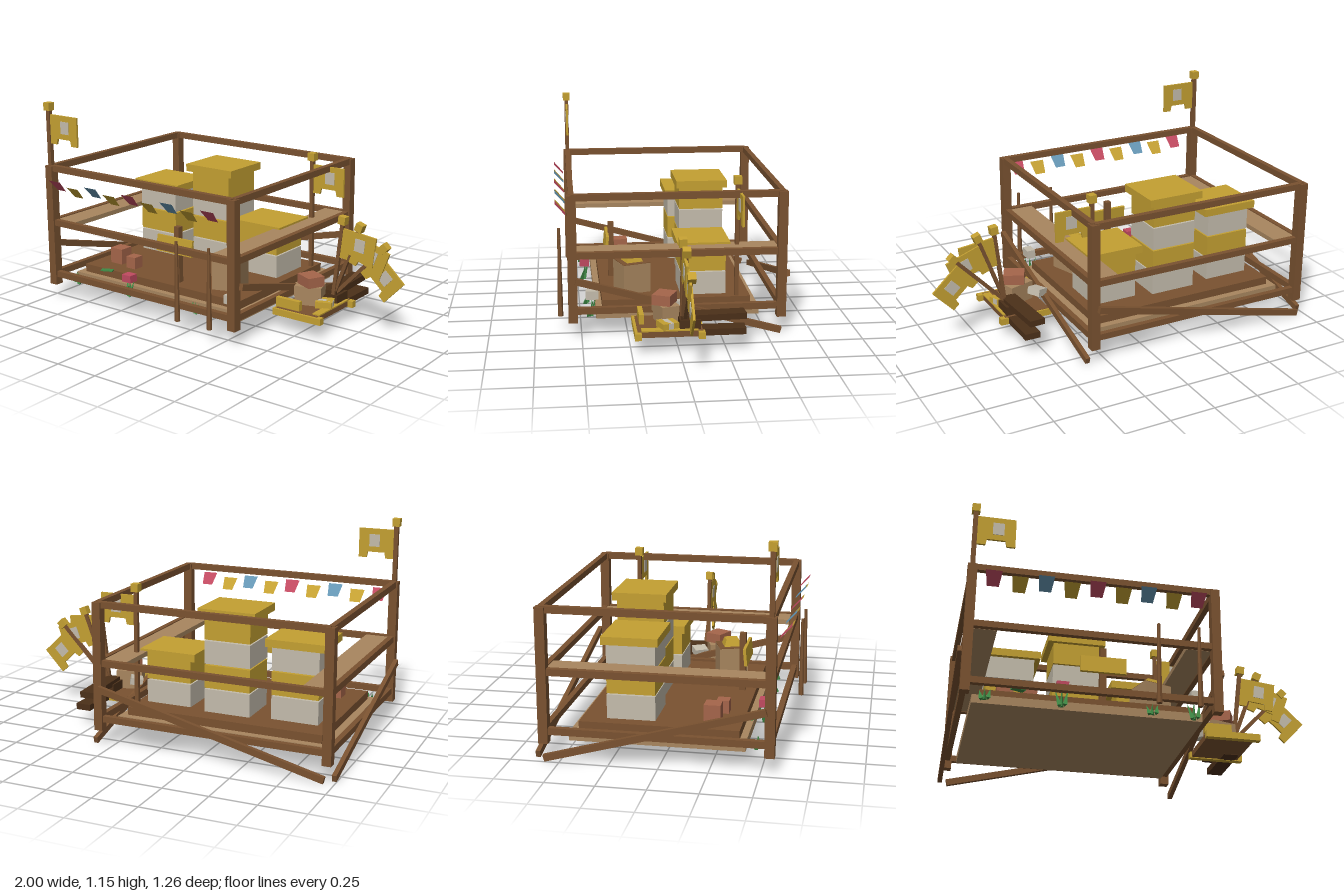
import * as THREE from 'three';

export function createModel() {
  const root = new THREE.Group();
  const material = (name, color) => {
    const m = new THREE.MeshStandardMaterial({ color, flatShading: true, side: THREE.DoubleSide });
    m.name = name;
    return m;
  };
  const wood = material('wood', 0x7a5230);
  const darkWood = material('dark wood', 0x4c3019);
  const paleWood = material('pale wood', 0xa8865f);
  const gold = material('gold', 0xc4a032);
  const cream = material('cream', 0xc4bcac);
  const red = material('red', 0xc04a60);
  const blue = material('blue', 0x6596b4);
  const green = material('green', 0x3f8a45);
  const clay = material('clay', 0xa5654a);

  const add = (name, geo, mat, x, y, z, rx = 0, ry = 0, rz = 0, parent = root) => {
    const mesh = new THREE.Mesh(geo, mat);
    mesh.name = name;
    mesh.position.set(x, y, z);
    mesh.rotation.set(rx, ry, rz);
    parent.add(mesh);
    return mesh;
  };
  const box = (name, mat, [w, h, d], [x, y, z], [rx, ry, rz] = [0, 0, 0], parent = root) =>
    add(name, new THREE.BoxGeometry(w, h, d), mat, x, y, z, rx, ry, rz, parent);
  // box given by its limits on each axis
  const span = (name, mat, x0, x1, y0, y1, z0, z1) =>
    box(name, mat, [x1 - x0, y1 - y0, z1 - z0], [(x0 + x1) / 2, (y0 + y1) / 2, (z0 + z1) / 2]);

  // Floor platform
  span('floorBase', paleWood, -0.91, 0.275, 0.09, 0.135, -0.47, 0.42);
  span('floorDeck', wood, -0.87, 0.235, 0.135, 0.18, -0.43, 0.385);

  // Corner posts, rails and side shelves
  const xs = [-0.955, 0.32], zs = [0.545, -0.585];
  for (const x of xs) for (const z of zs) box('cornerPost', wood, [0.048, 0.7, 0.05], [x, 0.44, z]);
  for (const y of [0.153, 0.46, 0.777]) {
    for (const z of zs) box('longRail', wood, [1.275, 0.034, 0.03], [-0.3175, y, z]);
    for (const x of xs) box('sideRail', wood, [0.03, 0.036, 1.13], [x, y, -0.02]);
  }
  span('leftShelf', paleWood, 0.17, 0.32, 0.447, 0.473, -0.57, 0.52);
  span('rightShelf', paleWood, -0.955, -0.81, 0.447, 0.473, -0.57, 0.52);

  // Diagonal braces
  for (const x of [-0.988, 0.354]) box('sideBrace', wood, [0.024, 0.035, 1.15], [x, 0.174, -0.025], [-0.27, 0, 0]);
  box('backBrace', wood, [1.295, 0.035, 0.024], [-0.32, 0.174, -0.622], [0, 0, 0.238]);

  // Stacked boxes with overhanging lids
  for (const [x, z, layers] of [[-0.675, -0.175, 3], [-0.305, -0.205, 4], [0.05, -0.175, 2]]) {
    const stack = new THREE.Group();
    stack.name = 'boxStack';
    stack.position.set(x, 0.18, z);
    root.add(stack);
    for (let i = 0; i < layers; i++)
      box('stackBox', i % 2 ? gold : cream, [0.26, 0.126, 0.25], [0, 0.064 + i * 0.133, 0], [0, 0, 0], stack);
    box('stackLid', gold, [0.325, 0.042, 0.29], [0, layers * 0.133 + 0.017, 0], [0, 0, 0], stack);
  }

  // Notched flag with emblem, hanging from the tip of a pole
  const flagShape = new THREE.Shape([[0, 0], [0.2, 0], [0.2, -0.165], [0.155, -0.165], [0.148, -0.132],
    [0.052, -0.132], [0.045, -0.165], [0, -0.165]].map(p => new THREE.Vector2(...p)));
  const flagGeo = new THREE.ExtrudeGeometry(flagShape, { depth: 0.012, bevelEnabled: false });
  flagGeo.translate(0, 0, -0.006);
  const flagPole = (x, y, z, length, tilt, thick) => {
    const g = new THREE.Group();
    g.name = 'flagPole';
    g.position.set(x, y, z);
    g.rotation.z = tilt;
    root.add(g);
    box('pole', wood, [thick, length, thick], [0, length / 2, 0], [0, 0, 0], g);
    box('poleCap', gold, [0.042, 0.044, 0.042], [0, length + 0.02, 0], [0, 0, 0], g);
    add('flag', flagGeo, gold, thick / 2, length - 0.024, 0, 0, 0, 0, g);
    box('flagEmblem', cream, [0.06, 0.07, 0.018], [thick / 2 + 0.11, length - 0.09, 0], [0, 0, 0], g);
  };
  flagPole(-0.955, 0.79, 0.545, 0.317, 0, 0.024);
  flagPole(0.215, 0.18, -0.355, 0.63, 0, 0.022);
  for (const [tx, ty, z] of [[0.628, 0.585, -0.012], [0.722, 0.56, -0.02], [0.86, 0.475, -0.028]]) {
    const dx = tx - 0.58, dy = ty - 0.18;
    flagPole(0.58, 0.18, z, Math.hypot(dx, dy), -Math.atan2(dx, dy), 0.02);
  }

  // Bunting of slanted pennants
  const pennant = new THREE.ShapeGeometry(new THREE.Shape([[-0.042, 0.042], [-0.031, -0.042], [0.031, -0.042],
    [0.042, 0.042]].map(p => new THREE.Vector2(...p))));
  for (let i = 0; i < 9; i++)
    add('pennant', pennant, [red, gold, blue, gold][i % 4], -0.85 + i * 0.133, i % 2 ? 0.675 : 0.696, 0.603, 0.72);

  // Pointed stakes in front
  for (const x of [0.0, 0.212])
    add('stake', new THREE.CylinderGeometry(0.008, 0.015, 0.44, 6), wood, x, 0.31, 0.612);

  // Sign
  box('signPost', wood, [0.034, 0.32, 0.034], [-0.23, 0.34, 0.313]);
  box('signBoard', gold, [0.245, 0.092, 0.016], [-0.232, 0.396, 0.34], [-0.1, 0, 0]);

  // Crate with golden contents, and bricks
  box('crate', paleWood, [0.16, 0.165, 0.16], [0.05, 0.2625, 0.21], [0, 0.32, 0]);
  box('crateRim', wood, [0.158, 0.004, 0.158], [0.05, 0.346, 0.21], [0, 0.32, 0]);
  add('crateContents', new THREE.CylinderGeometry(0.05, 0.068, 0.04, 4), gold, 0.05, 0.366, 0.21, 0, 0.32 + Math.PI / 4);
  box('largeBrick', clay, [0.085, 0.09, 0.085], [-0.73, 0.225, 0.232]);
  box('smallBrick', clay, [0.065, 0.068, 0.065], [-0.6, 0.214, 0.265]);

  // Flowers and leaf tufts
  const leaf = new THREE.ConeGeometry(0.014, 0.1, 3);
  for (const [x, z, h] of [[-0.85, 0.47, 0.6], [-0.465, 0.46, 1], [0.0, 0.46, 0.6], [0.225, 0.44, 1]])
    for (const s of [-1, 0, 1]) {
      const l = add('leaf', leaf, green, x + s * 0.022, 0.09 + 0.05 * h, z + s * 0.008, 0, s, -s * 0.35);
      l.scale.y = h;
    }
  box('fallenLeaf', green, [0.07, 0.006, 0.035], [-0.68, 0.185, 0.41], [0, 0.4, 0]);
  box('redFlower', red, [0.062, 0.042, 0.055], [-0.465, 0.197, 0.463]);
  box('creamFlower', cream, [0.05, 0.048, 0.07], [0.228, 0.214, 0.44]);

  // Side cart platform and its load
  span('cartBed', wood, 0.36, 0.62, 0.095, 0.128, -0.12, 0.22);
  span('cartFrontTrim', gold, 0.35, 0.65, 0.09, 0.126, 0.2, 0.235);
  span('cartBackTrim', gold, 0.35, 0.65, 0.09, 0.126, -0.13, -0.095);
  span('cartSideTrim', gold, 0.58, 0.625, 0.128, 0.135, -0.095, 0.2);
  span('goldPanel', gold, 0.35, 0.5, 0.126, 0.18, 0.178, 0.204);
  box('upperLog', darkWood, [0.085, 0.034, 0.35], [0.545, 0.183, -0.178], [0, 0.06, 0]);
  span('lowerLog', darkWood, 0.52, 0.605, 0.092, 0.127, -0.35, -0.01);
  span('poleBase', darkWood, 0.5, 0.61, 0.13, 0.18, -0.11, 0.0);
  box('cartCrate', paleWood, [0.15, 0.058, 0.1], [0.475, 0.206, 0.06], [0, 0.3, 0]);
  box('cartCrateSupport', paleWood, [0.13, 0.05, 0.09], [0.465, 0.153, 0.06], [0, 0.3, 0]);
  box('cartBrick', clay, [0.115, 0.056, 0.1], [0.485, 0.266, 0.068], [0, -0.45, 0]);
  box('creamSlab', cream, [0.07, 0.04, 0.08], [0.39, 0.2, -0.03], [0, 0.5, 0.2]);
  box('foldedCloth', gold, [0.09, 0.036, 0.09], [0.57, 0.148, 0.06], [0, 0.35, 0]);
  box('foldedClothPatch', cream, [0.094, 0.036, 0.03], [0.57, 0.148, 0.06], [0, 0.35, 0]);

  return root;
}
